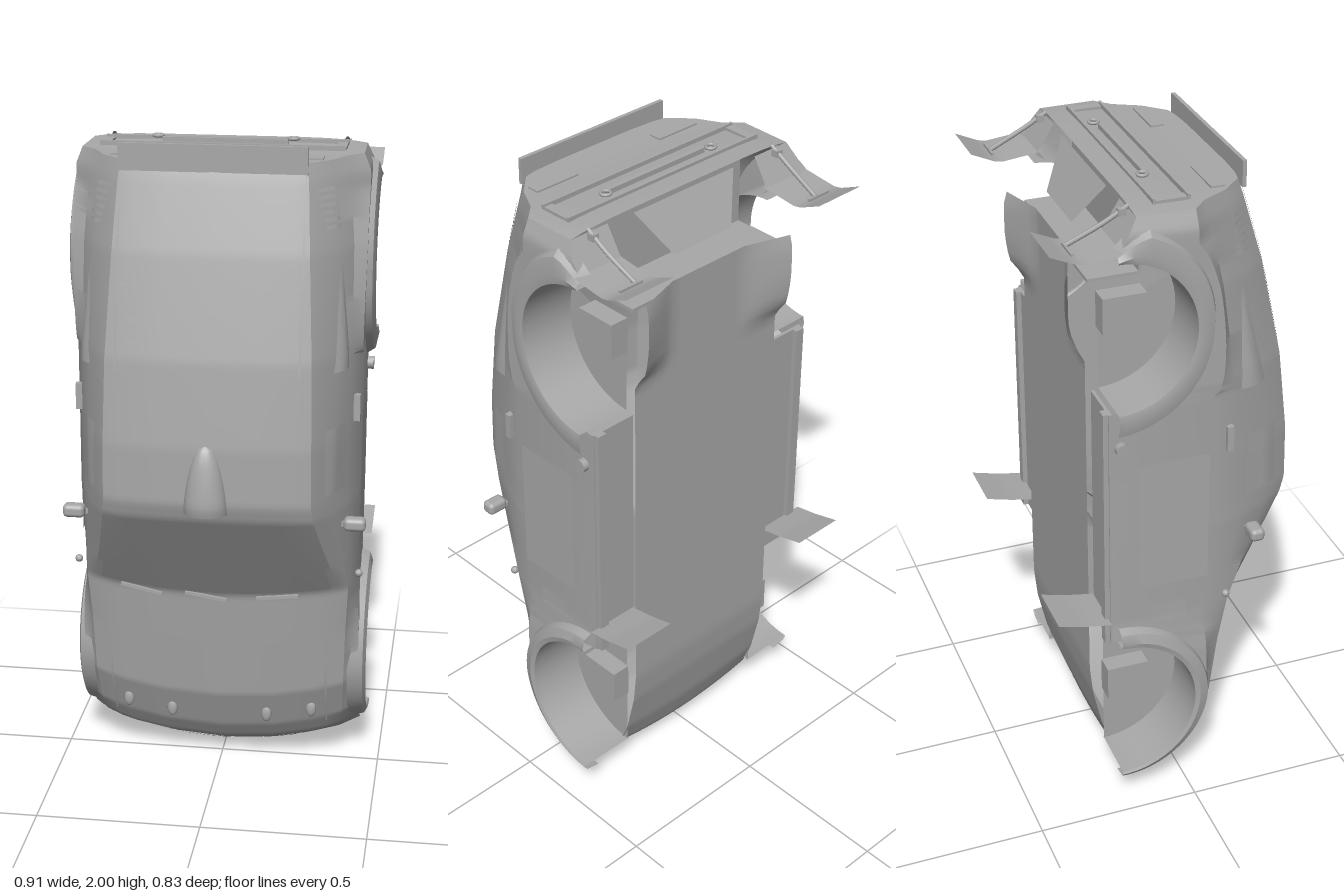
import * as THREE from 'three';
import { toCreasedNormals } from 'three/addons/utils/BufferGeometryUtils.js';
import { RoundedBoxGeometry } from 'three/addons/geometries/RoundedBoxGeometry.js';

const grey = new THREE.MeshStandardMaterial({ color: 0xa8a8a8, side: THREE.DoubleSide });
grey.name = 'bodyGrey';

// piecewise linear lookup: rows of [key, value, value...]
function look(table, k, col = 1) {
  if (k <= table[0][0]) return table[0][col];
  for (let i = 1; i < table.length; i++) {
    const a = table[i - 1], b = table[i];
    if (k <= b[0]) return a[col] + (b[col] - a[col]) * (k - a[0]) / (b[0] - a[0]);
  }
  return table[table.length - 1][col];
}

// the car stands on its nose: length runs along y, its roof faces +z
// station: top z, shoulder x, shoulder z, belt x, belt z, lower x
const STATIONS = [
  [0, -0.13, 0.30, -0.13, 0.40, -0.13, 0.43],
  [0.015, -0.06, 0.31, -0.07, 0.41, -0.09, 0.43],
  [0.06, 0.02, 0.33, 0.01, 0.41, -0.04, 0.43],
  [0.12, 0.06, 0.34, 0.045, 0.41, 0.01, 0.43],
  [0.25, 0.11, 0.35, 0.095, 0.41, 0.06, 0.43],
  [0.45, 0.135, 0.36, 0.12, 0.41, 0.08, 0.43],
  [0.605, 0.153, 0.375, 0.14, 0.41, 0.11, 0.42],
  [0.93, 0.36, 0.31, 0.335, 0.397, 0.165, 0.422],
  [0.98, 0.376, 0.305, 0.35, 0.395, 0.165, 0.422],
  [1.15, 0.374, 0.303, 0.348, 0.397, 0.16, 0.422],
  [1.4, 0.345, 0.298, 0.322, 0.40, 0.14, 0.425],
  [1.7, 0.28, 0.283, 0.262, 0.395, 0.10, 0.43],
  [1.9, 0.222, 0.272, 0.205, 0.38, 0.06, 0.43],
  [1.95, 0.205, 0.265, 0.19, 0.368, 0.05, 0.41],
];
const END = 1.95;
const BOW = [[0, 0.09], [0.3, 0.07], [0.62, 0.05], [0.95, 0]];
// wallFrom: arc angle at which the inner wall of the wheel well begins
const ARCHES = [
  { name: 'front', y: 0.345, z: -0.22, r: 0.24, wallFrom: 0, reach: [[0, 0.30], [1.6, 0.298], [Math.PI, 0.262]] },
  { name: 'rear', y: 1.61, z: -0.225, r: 0.235, wallFrom: 1.18, reach: [[0, 0.255], [0.3, 0.34], [1.6, 0.30], [Math.PI, 0.33]] },
];
const bowed = (s, x) => s + look(BOW, s) * (x / 0.45) ** 2;

// lower rim of the body, cut by the wheel arches and swept up at the tail
function rim(y) {
  for (const a of ARCHES) {
    const d = y - a.y;
    if (Math.abs(d) < a.r) return a.z + Math.sqrt(a.r * a.r - d * d);
  }
  return y > 1.8 ? -0.225 + (y - 1.845) * 0.62 : -0.24;
}

// half cross-section from the centre line down to the rim
function section(s) {
  const [T, W, C, B, S0, L] = [1, 2, 3, 4, 5, 6].map((c) => look(STATIONS, s, c));
  const zb = Math.max(rim(bowed(s, L)), look([[0, -0.13], [0.03, -0.18], [0.1, -0.25]], s));
  const S = Math.max(S0, zb);
  return [
    [0, T], [0.5 * W, T - 0.15 * (T - C)], [0.85 * W, T - 0.5 * (T - C)], [W, C],
    [(W + B) / 2 + 0.01, (C + S) / 2 + 0.008], [B, S],
    [L + 0.003, S + (zb - S) * 0.2], [L, zb],
  ];
}

// grid surface from a rule (u, v in 0..1)
function surface(nu, nv, rule, crease = 0.55) {
  const pos = [], idx = [];
  for (let i = 0; i <= nu; i++) for (let j = 0; j <= nv; j++) pos.push(...rule(i / nu, j / nv));
  for (let i = 0; i < nu; i++) for (let j = 0; j < nv; j++) {
    const a = i * (nv + 1) + j, b = a + nv + 1;
    idx.push(a, b, a + 1, b, b + 1, a + 1);
  }
  const g = new THREE.BufferGeometry();
  g.setAttribute('position', new THREE.Float32BufferAttribute(pos, 3));
  g.setIndex(idx);
  return toCreasedNormals(g, crease);
}

// points on the upper skin (by x) and on the side skin (by z)
function topPoint(s, x, lift) {
  return [x, bowed(s, x), look(section(s), Math.abs(x)) + lift];
}
function sidePoint(s, z, lift) {
  const pts = section(s).slice(3).map(([x, h]) => [h, x]).reverse();
  const x = look(pts, z);
  return [x + lift, bowed(s, x), z + lift * 0.3];
}

export function createModel() {
  const car = new THREE.Group();
  car.name = 'carBody';
  const add = (name, geo, x = 0, y = 0, z = 0) => {
    const m = new THREE.Mesh(geo, grey);
    m.name = name;
    m.position.set(x, y, z);
    car.add(m);
    return m;
  };
  const box = (name, w, h, d, x, y, z) => add(name, new THREE.BoxGeometry(w, h, d), x, y, z);
  const mix = (a, b, t) => a + (b - a) * t;
  const topPatch = (name, s0, s1, x0, x1, lift = 0.004) =>
    add(name, surface(6, 8, (u, v) => topPoint(mix(s0, s1, u), mix(x0, x1, v), lift)));

  // body shell, closed at the nose and the tail
  add('bodyShell', surface(150, 14, (u, v) => {
    const s = END * u ** 1.2, j = Math.round(v * 14) - 7;
    const [x, z] = section(s)[Math.abs(j)];
    return [Math.sign(j) * x, bowed(s, x), z];
  }, 0.5));
  const tail = section(END);
  add('tailPanel', surface(7, 24, (u, v) => {
    const [w, h] = tail[Math.round(u * 7)];
    const x = mix(-w, w, v), edge = 1 - (w ? Math.abs(x) / w : 1) ** 6;
    return [x, END + 0.02 * edge * Math.max(0, 1 - Math.abs(h + 0.1) / 0.15), h];
  }));

  // floor: rises into the nose, with flared rear corners
  const WIDE = [[0, 0.43], [0.015, 0.42], [0.04, 0.28], [2, 0.28]];
  const LOW = [[0, -0.13], [0.05, -0.19], [0.15, -0.225], [0.3, -0.255], [0.4, -0.265]];
  const DROP = [[1.48, 0], [1.54, 0.8], [1.62, 1], [1.72, 1], [1.76, 0.8]];
  add('floor', surface(70, 16, (u, v) => {
    const s = 1.76 * u ** 1.3, w = look(WIDE, s), x = mix(-w, w, v);
    const y = s + look(BOW, s) * Math.max(0, 1 - s / 0.3) * (x / 0.45) ** 2;
    return [x, y, look(LOW, s) - 0.055 * look(DROP, s) * Math.max(0, (Math.abs(x) - 0.14) / 0.14)];
  }));
  box('rearInnerPanel', 0.56, 0.22, 0.01, 0, 1.83, -0.1);
  box('rearInnerWall', 0.56, 0.01, 0.15, 0, 1.72, -0.18);
  add('diffuser', surface(1, 1, (u, v) => [mix(-1, 1, v) * mix(0.19, 0.11, u), mix(1.95, 1.82, u), mix(-0.165, -0.24, u)]));

  // roof lip, scoop, windscreen and wipers
  box('roofLip', 0.54, 0.078, 0.012, 0, 1.961, 0.208);
  add('roofScoop', surface(14, 12, (u, v) => {
    const t = Math.max(0, (u - 1 / 14) * 14 / 13), a = v * Math.PI, k = u ? Math.sqrt(1 - t ** 1.5) : 0;
    const s = 0.955 + 0.215 * t;
    return [0.065 * k * Math.cos(a), s, look(STATIONS, s) - 0.008 + 0.05 * k * Math.sin(a)];
  }));
  add('windscreen', surface(12, 16, (u, v) => {
    const s = mix(0.62, 0.92, u);
    return topPoint(s, mix(-0.95, 0.95, v) * look(STATIONS, s, 2), 0.004);
  }));
  for (const [x, tilt] of [[-0.23, -0.22], [-0.03, -0.15], [0.19, 0.12]]) {
    const p = topPoint(0.605, x, 0.008);
    box('wiper', 0.13, 0.01, 0.01, ...p).rotation.z = tilt;
  }
  for (const s of [1.37, 1.61]) topPatch('roofSeam', s, s + 0.006, -0.26, 0.26);
  for (const x of [-0.265, 0.265]) {
    topPatch('roofSeam', 1.37, 1.92, x - 0.003, x + 0.003);
    topPatch('bonnetSeam', 0.1, 0.57, x * 1.27 - 0.003, x * 1.27 + 0.003);
  }
  topPatch('noseGrille', 0.025, 0.045, -0.24, 0.24);

  // tail details
  for (const z of [-0.09, 0.01]) box('tailFrame', 0.72, 0.014, 0.008, 0, 1.962, z);
  box('plateLedge', 0.37, 0.016, 0.012, 0, 1.965, -0.05);

  for (const k of [-1, 1]) {
    const mirrorX = (p) => [k * p[0], p[1], p[2]];
    const sidePatch = (name, s0, s1, z0, z1, lift = 0.004) =>
      add(name, surface(6, 6, (u, v) => mirrorX(sidePoint(mix(s0, s1, u), mix(z0, z1, v), lift))));

    // wheel arches: flare, liner and inner wall
    for (const a of ARCHES) {
      const at = (x, r, t) => [k * x, a.y + r * Math.cos(t), a.z + r * Math.sin(t)];
      add(a.name + 'Flare', surface(40, 4, (u, v) => {
        const t = u * Math.PI, R = look(a.reach, t), j = Math.round(v * 4);
        const x = [0.43, 0.452, 0.456, 0.447, 0.40][j];
        return at(x, mix(a.r - 0.004, R, [0, 0, 0.25, 0.7, 1][j]), t);
      }));
      add(a.name + 'WheelLiner', surface(28, 1, (u, v) => at(mix(0.27, 0.44, v), a.r - 0.004, u * Math.PI)));
      add(a.name + 'WheelWall', surface(28, 1, (u, v) => at(0.275, v * a.r, mix(a.wallFrom, Math.PI, u))));
      box(a.name + 'Mount', 0.06, 0.11, 0.13, k * 0.305, a.y + 0.02, a.z + 0.06);
    }

    // bumper corner underside
    add('bumperUnderside', surface(6, 2, (u, v) => {
      const s = mix(1.842, END, u);
      return [k * mix(0.28, section(s)[7][0], v), s, rim(s)];
    }));

    // mud flaps and rear flap strap
    const flap = (name, path) => add(name, surface(8, 2, (u, v) =>
      [k * mix(0.278, 0.447, v), look(path, u, 1), look(path, u, 2)]));
    flap('rearMudFlap', [[0, 1.87, -0.2], [0.55, 1.855, -0.33], [1, 1.892, -0.412]]);
    flap('frontMudFlap', [[0, 0.675, -0.25], [0.5, 0.69, -0.33], [1, 0.712, -0.413]]);
    const strap = new THREE.CatmullRomCurve3([
      new THREE.Vector3(k * 0.35, 1.96, -0.16), new THREE.Vector3(k * 0.35, 1.92, -0.23),
      new THREE.Vector3(k * 0.345, 1.87, -0.335)]);
    add('flapStrap', new THREE.TubeGeometry(strap, 10, 0.007, 6));
    box('flapBar', 0.08, 0.008, 0.008, k * 0.36, 1.865, -0.335);
    box('strapHinge', 0.022, 0.02, 0.022, k * 0.35, 1.945, -0.18);

    // sills
    box('sillPlate', 0.15, 0.78, 0.01, k * 0.345, 0.98, -0.24);
    box('sillBar', 0.03, 0.78, 0.025, k * 0.4, 0.98, -0.248);

    // doors, windows and side vents
    sidePatch('sideWindow', 1.0, 1.2, 0.19, 0.3);
    sidePatch('doorPanel', 0.74, 1.19, -0.16, 0.055, 0.005);
    sidePatch('fenderVent', 0.595, 0.66, -0.12, -0.01);
    for (let i = 0; i < 6; i++) sidePatch('quarterLouvre', 1.765 + i * 0.021, 1.777 + i * 0.021, 0.15, 0.2, 0.006);
    const handle = sidePoint(1.22, 0.12, 0.006);
    box('doorHandle', 0.02, 0.08, 0.02, k * handle[0], handle[1], handle[2]);
    add('quarterScoop', surface(8, 6, (u, v) => {
      const s = mix(1.36, 1.66, u), bulge = 0.012 * Math.sin(v * Math.PI) * (1 - u);
      return mirrorX(sidePoint(s, mix(0.165, mix(0.25, 0.175, u), v), 0.002 + bulge));
    }));
    add('sideCatch', new THREE.SphereGeometry(0.012, 12, 8), k * 0.432, 0.69, 0.115);
    add('sillCatch', new THREE.CylinderGeometry(0.02, 0.02, 0.025, 16), k * 0.43, 1.26, -0.21).rotation.z = Math.PI / 2;

    // door mirror
    add('doorMirror', new RoundedBoxGeometry(0.066, 0.04, 0.044, 3, 0.014), k * 0.423, 0.885, 0.207);
    box('mirrorArm', 0.05, 0.014, 0.014, k * 0.38, 0.88, 0.195);

    // bonnet vents, pins and roof vents
    for (let i = 0; i < 5; i++) {
      const x0 = 0.23, x1 = 0.33 - i * 0.012;
      topPatch('bonnetVent', 0.31 + i * 0.022, 0.32 + i * 0.022, k * x0, k * x1, 0.006);
    }
    for (const x of [0.15, 0.29]) {
      const pin = add('bonnetPin', new THREE.SphereGeometry(1, 10, 8), ...topPoint(0.17, k * x, 0.003));
      pin.scale.set(0.016, 0.028, 0.01);
    }
    for (const s of [1.45, 1.51]) topPatch('roofVent', s, s + 0.01, k * 0.14, k * 0.235, 0.008);

    // tail lamp, tow eye and tailgate lamp
    box('tailLamp', 0.028, 0.012, 0.09, k * 0.345, 1.957, -0.04);
    const eye = add('towEye', new THREE.TorusGeometry(0.014, 0.005, 8, 16), k * 0.2, 1.974, -0.065);
    eye.rotation.x = Math.PI / 2;
    box('tailgateLamp', 0.15, 0.008, 0.04, k * 0.23, 1.951, 0.115);
  }
  return car;
}
